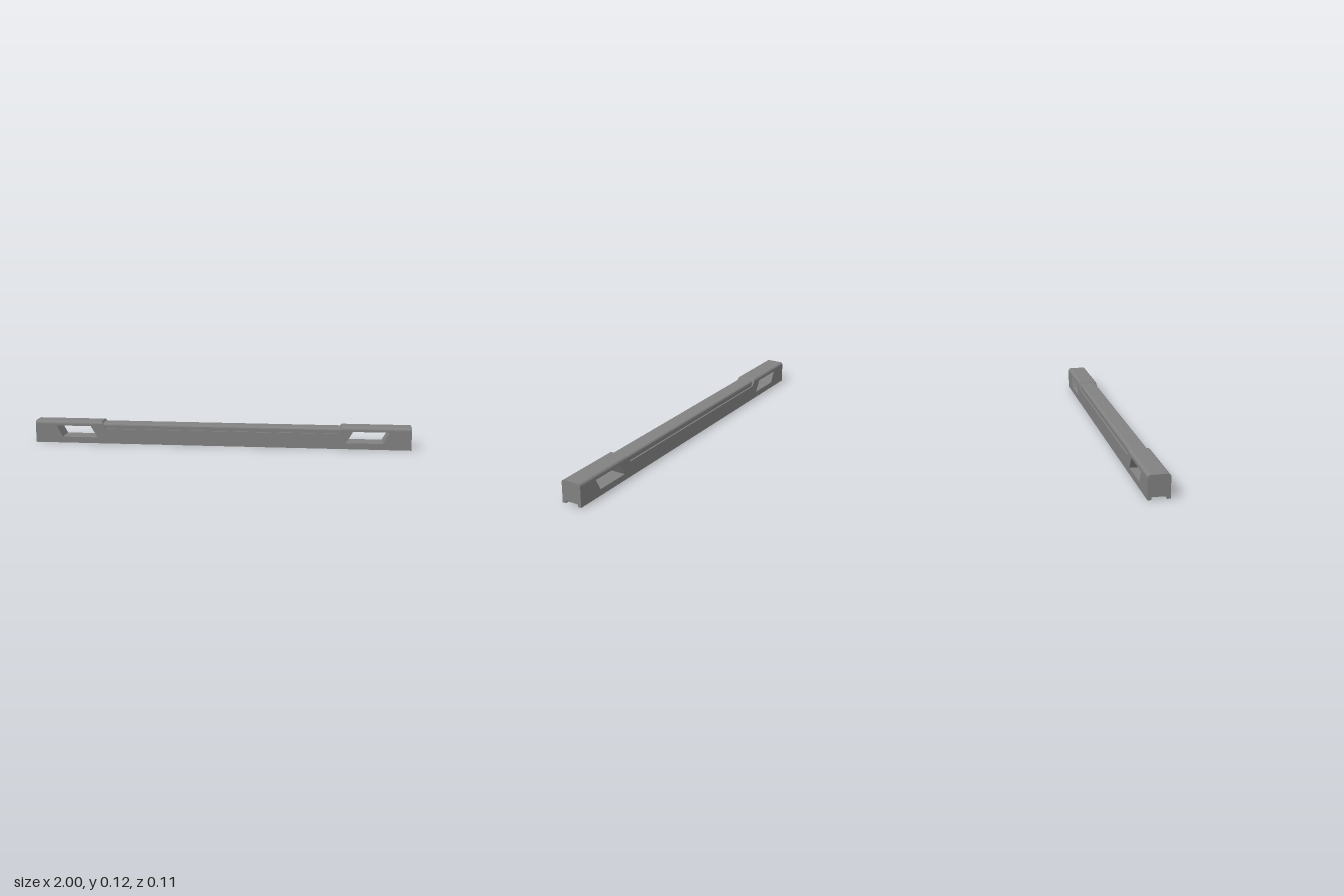
import * as THREE from 'three';

const W = 0.053, H = 0.117, R = 0.015;       // half width, height, edge radius
const INSET = 0.008, LEDGE = 0.08;           // waist inset and ledge height
const CH_W = 0.035, CH_H = 0.013;            // underside channel
const endX = (y) => 0.615 + (y - LEDGE) * 0.65; // slanted inner end of the raised blocks

// Rounded arch of [z, y] points from +z over the top to -z
function arch(w, h, r, base) {
  const pts = [[w, base]];
  for (let i = 0; i <= 6; i++) {
    const a = (i / 6) * Math.PI / 2;
    pts.push([w - r + r * Math.cos(a), h - r + r * Math.sin(a)]);
  }
  return [...pts, ...pts.map(([z, y]) => [-z, y]).reverse()];
}

// Skin between two polylines; faces along (b - a) x polyline direction
function loft(a, b) {
  const pos = [];
  for (let i = 0; i < a.length - 1; i++) {
    for (const p of [a[i], b[i], b[i + 1], a[i], b[i + 1], a[i + 1]]) pos.push(...p);
  }
  const g = new THREE.BufferGeometry();
  g.setAttribute('position', new THREE.Float32BufferAttribute(pos, 3));
  g.computeVertexNormals();
  return g;
}

// Sweep a [z, y] profile along x between two end rules
const sweep = (profile, x0, x1) => loft(
  profile.map(([z, y]) => [x0(y), y, z]),
  profile.map(([z, y]) => [x1(y), y, z]));

// Flat cap from [z, y] points, facing dir along x, placed by a rule of y
function cap(points, dir, xOf) {
  const g = new THREE.ShapeGeometry(new THREE.Shape(points.map((p) => new THREE.Vector2(...p))));
  g.rotateY(dir * Math.PI / 2);
  const p = g.attributes.position;
  for (let i = 0; i < p.count; i++) p.setX(i, xOf(p.getY(i)));
  g.computeVertexNormals();
  return g;
}

export function createModel() {
  const group = new THREE.Group();
  const mat = new THREE.MeshStandardMaterial({ color: 0x828282, side: THREE.DoubleSide });
  const add = (name, geo) => {
    const m = new THREE.Mesh(geo, mat);
    m.name = name;
    group.add(m);
    return m;
  };

  // Slanted grip openings, counter-clockwise
  const left = [[0.662, 0.032], [0.853, 0.032], [0.886, 0.093], [0.698, 0.093]];
  const right = left.map(([x, y]) => [-x, y]).reverse();
  const openings = [left, right];

  // Side walls with the openings
  const y1 = H - R;
  const half = [[1, 0], [1, y1], [endX(y1), y1], [endX(LEDGE), LEDGE]];
  const outline = [...half, ...half.map(([x, y]) => [-x, y]).reverse()];
  const wall = new THREE.Shape(outline.map((p) => new THREE.Vector2(...p)));
  for (const o of openings) wall.holes.push(new THREE.Path(o.map((p) => new THREE.Vector2(...p))));
  const wallGeo = new THREE.ShapeGeometry(wall);
  add('frontWall', wallGeo).position.z = W;
  const back = add('backWall', wallGeo);
  back.position.z = -W;
  back.rotation.y = Math.PI;

  // Inner faces of the openings
  for (const o of openings) {
    const loop = [...o, o[0]];
    add('openingLining', loft(loop.map(([x, y]) => [x, y, -W]), loop.map(([x, y]) => [x, y, W])));
  }

  // Narrower rounded waist with a ledge along each side
  const waist = arch(W - INSET, H - INSET, R - 0.003, LEDGE);
  add('waist', sweep([[W, LEDGE], ...waist, [-W, LEDGE]], (y) => -endX(y), endX));

  // Underside with its lengthwise channel
  const channel = [[-W, 0], [-CH_W, 0], [-CH_W, CH_H], [CH_W, CH_H], [CH_W, 0], [W, 0]];
  add('undersideChannel', sweep(channel, () => -1, () => 1));

  // Raised end blocks: rounded top, outer end and slanted step
  const top = arch(W, H, R, y1);
  for (const s of [-1, 1]) {
    const inner = (y) => s * endX(y), outer = () => s;
    add('endTop', s > 0 ? sweep(top, inner, outer) : sweep(top, outer, inner));
    add('endFace', cap([...channel, ...top], s, outer));
    add('endStep', cap([...arch(W, H, R, LEDGE), ...[...waist].reverse()], -s, inner));
  }
  return group;
}
